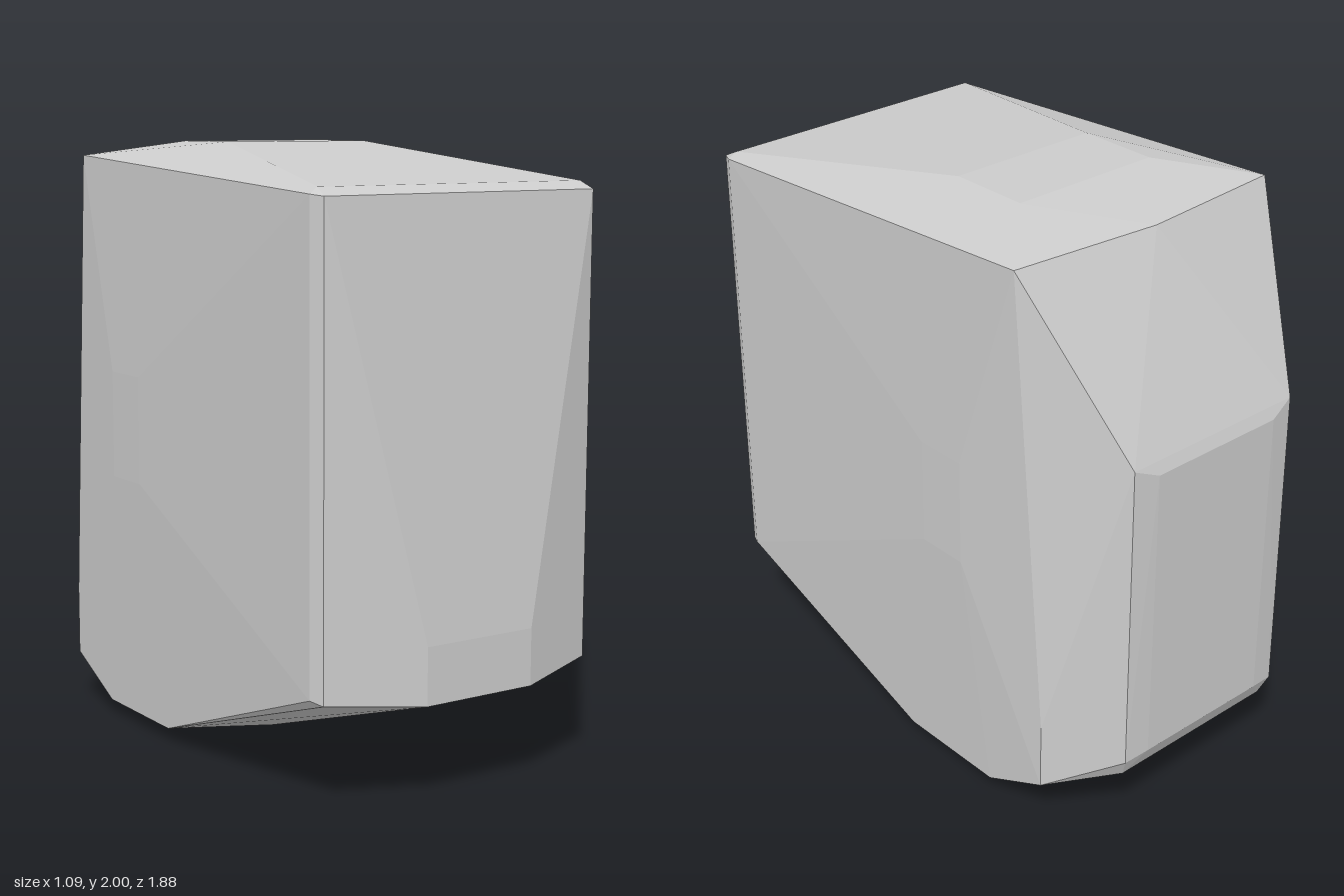
import * as THREE from 'three';
import { ConvexGeometry } from 'three/addons/geometries/ConvexGeometry.js';

// Corners of the left half (x >= 0); each is mirrored to the right half.
const corners = [
  // top plateau and rear ridge
  [0.27, 2, -0.07], [0.27, 2, -0.35], [0, 1.95, -0.65], [0.525, 1.95, -0.605],
  // bevelled upper front edge
  [0.505, 1.86, 0.84], [0.495, 1.885, 0.79], [0.525, 1.865, 0.795],
  // bulging front and its lower corners
  [0.2, 0.52, 0.945], [0.2, 0.335, 0.945], [0.505, 0.36, 0.84], [0.525, 0.37, 0.795],
  // underside
  [0.2, 0.05, 0.08], [0.2, 0, -0.2], [0.2, 0, -0.37], [0.2, 0.05, -0.53],
  [0.515, 0.05, -0.08], [0.515, 0.05, -0.48],
  // gently swollen flank
  [0.545, 1.23, -0.2], [0.545, 0.87, -0.2], [0.545, 1.23, -0.38], [0.545, 0.87, -0.38],
  // rear quarter and back
  [0.515, 0.17, -0.725], [0.515, 0.4, -0.725],
  [0.34, 1.36, -0.925], [0.34, 0.29, -0.93], [0.32, 0.22, -0.9],
  [0.25, 1.32, -0.94], [0.25, 0.3, -0.94],
];

export function createModel() {
  const group = new THREE.Group();
  group.name = 'facetedBlock';

  const points = [];
  for (const [x, y, z] of corners) {
    points.push(new THREE.Vector3(x, y, z));
    if (x > 0) points.push(new THREE.Vector3(-x, y, z));
  }

  const block = new THREE.Mesh(
    new ConvexGeometry(points),
    new THREE.MeshStandardMaterial({ color: 0xcccccc, flatShading: true })
  );
  block.name = 'block';
  group.add(block);
  return group;
}
